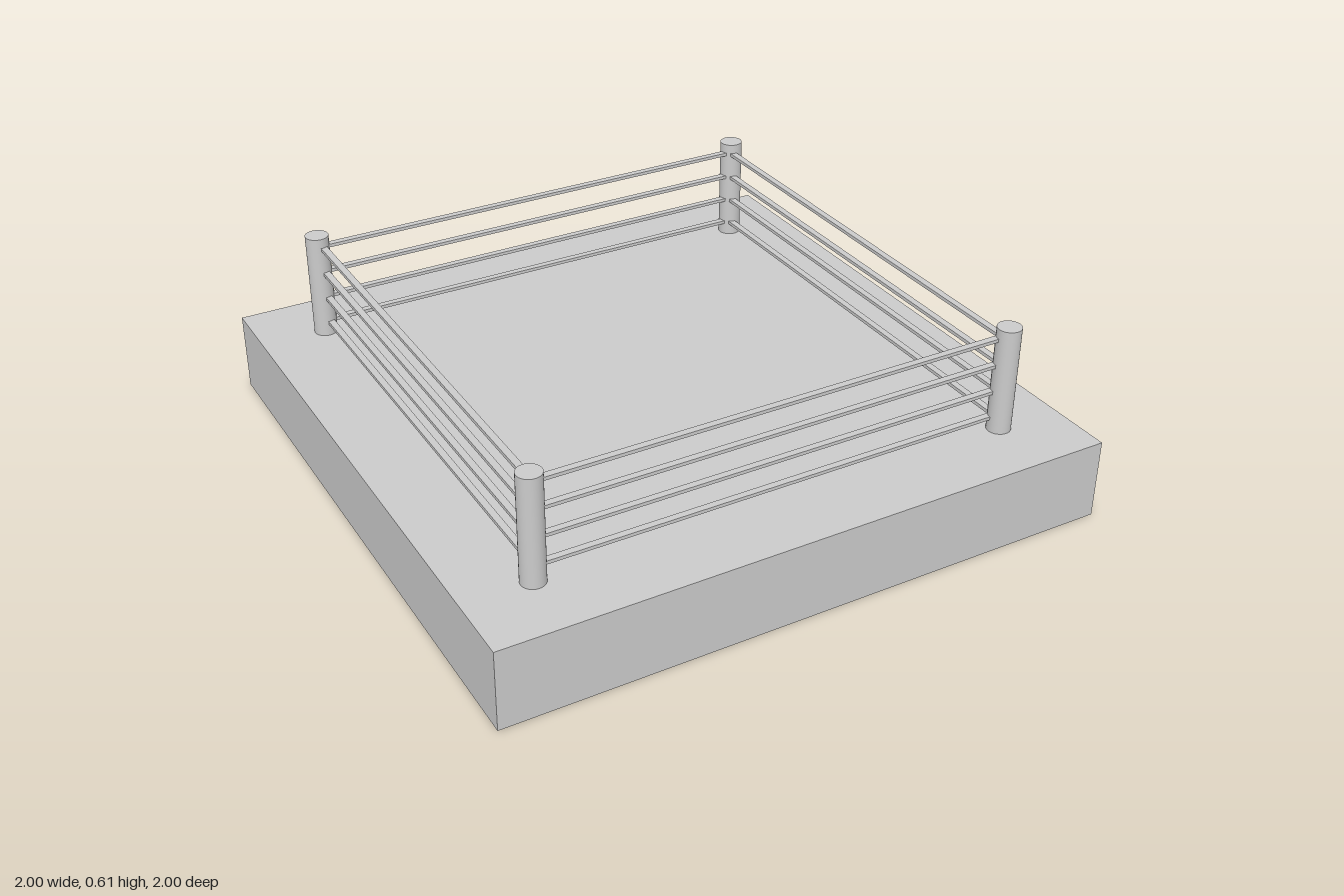
import * as THREE from 'three';

const PLATFORM_TOP = 0.26;
const POST_TOP = 0.61;
const POST_OFFSET = 0.782;
const ROPE_OFFSET = 0.772; // ropes run just inside the post centres
const ROPE_HEIGHTS = [0.305, 0.394, 0.484, 0.573];

export function createModel() {
  const model = new THREE.Group();
  model.name = 'ropedRing';
  const material = new THREE.MeshStandardMaterial({ color: 0xcccccc });

  const add = (name, geometry, x, y, z, parent = model) => {
    const mesh = new THREE.Mesh(geometry, material);
    mesh.name = name;
    mesh.position.set(x, y, z);
    parent.add(mesh);
    return mesh;
  };

  // Raised square platform
  add('platform', new THREE.BoxGeometry(2, PLATFORM_TOP, 2), 0, PLATFORM_TOP / 2, 0);

  // Round corner posts
  const postHeight = POST_TOP - PLATFORM_TOP;
  const postGeometry = new THREE.CylinderGeometry(0.038, 0.038, postHeight, 32);
  for (const sx of [-1, 1]) {
    for (const sz of [-1, 1]) {
      add('cornerPost', postGeometry, sx * POST_OFFSET, PLATFORM_TOP + postHeight / 2, sz * POST_OFFSET);
    }
  }

  // Four flat ropes per side, ending inside the posts
  const ropeGeometry = new THREE.BoxGeometry(POST_OFFSET * 2, 0.011, 0.022);
  ['frontRopes', 'leftRopes', 'backRopes', 'rightRopes'].forEach((name, i) => {
    const side = new THREE.Group();
    side.name = name;
    side.rotation.y = (i * Math.PI) / 2;
    for (const y of ROPE_HEIGHTS) add('rope', ropeGeometry, 0, y, ROPE_OFFSET, side);
    model.add(side);
  });

  return model;
}
